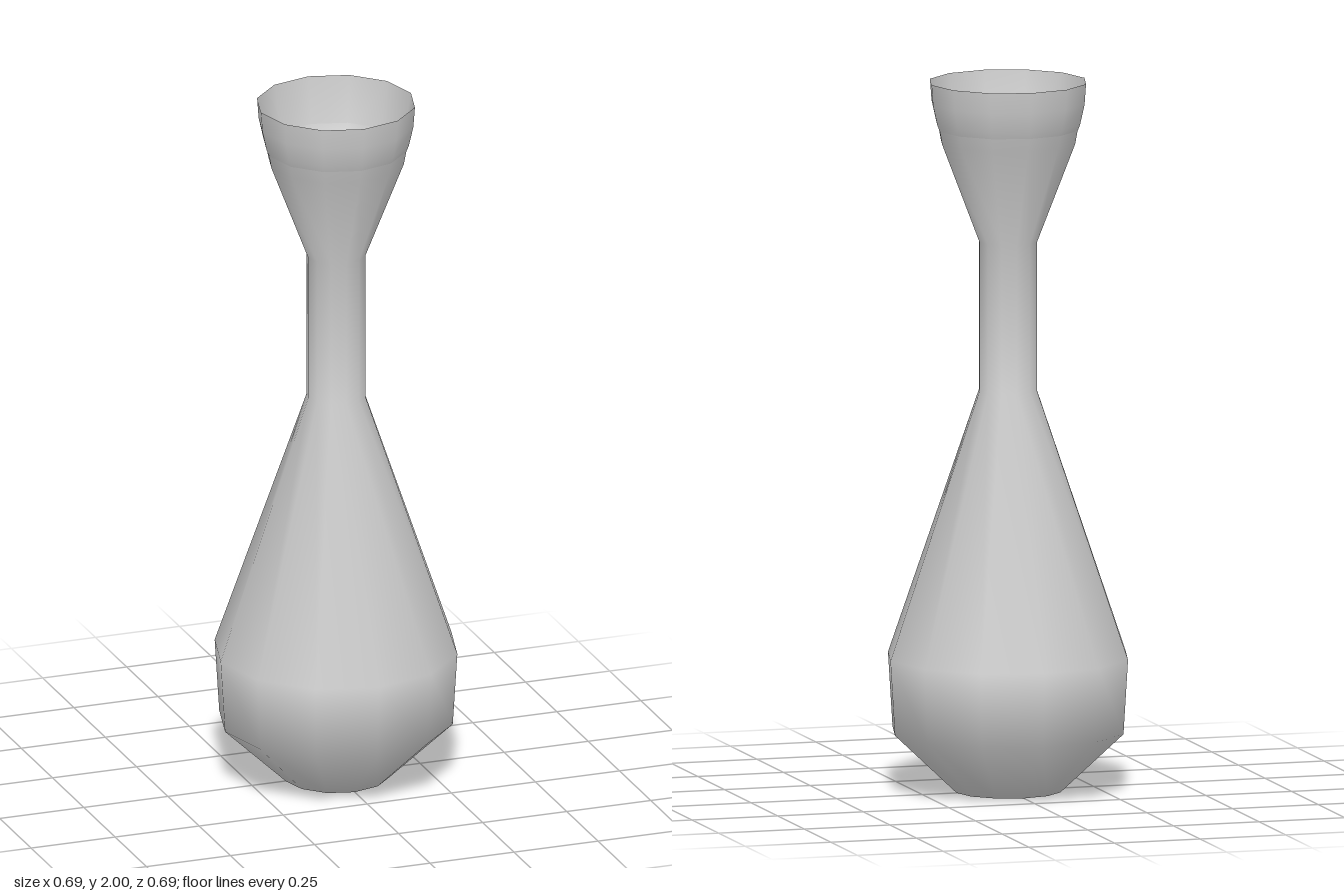
import * as THREE from 'three';

const SIDES = 12;

export function createModel() {
  const group = new THREE.Group();
  group.name = 'vase';
  const material = new THREE.MeshStandardMaterial({ color: 0xcccccc, side: THREE.DoubleSide });

  // Revolves a profile of [radius, height] pairs into a named part
  const lathe = (name, profile) => {
    const points = profile.map(([r, y]) => new THREE.Vector2(r, y));
    const mesh = new THREE.Mesh(new THREE.LatheGeometry(points, SIDES), material);
    mesh.name = name;
    group.add(mesh);
  };

  // Outer wall: rounded belly, slender neck, flared mouth
  lathe('body', [
    [0.15, 0], [0.33, 0.17], [0.343, 0.38], [0.083, 1.13],
    [0.083, 1.55], [0.192, 1.83], [0.223, 2],
  ]);

  // Flat foot
  lathe('base', [[0, 0], [0.15, 0]]);

  // Smooth hollow inside the mouth
  const hollow = [];
  for (let i = 0; i <= 8; i++) {
    const a = (i / 8) * Math.PI / 2;
    hollow.push([0.223 * Math.cos(a), 2 - 0.3 * Math.sin(a)]);
  }
  lathe('mouthHollow', hollow);

  return group;
}
